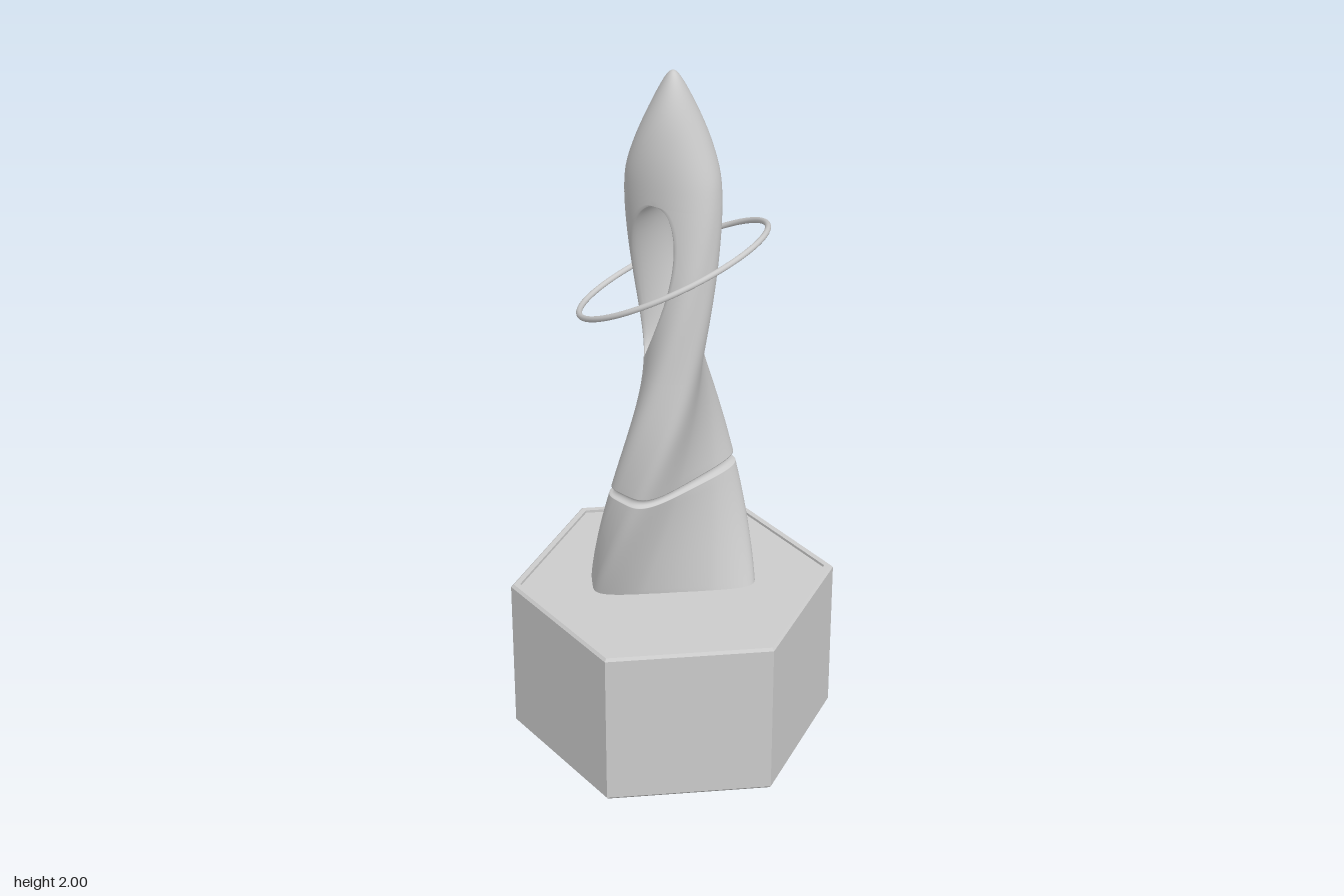
import * as THREE from 'three';
import { mergeVertices } from 'three/addons/utils/BufferGeometryUtils.js';

const BOTTOM = 0.46, TOP = 2;
const HOLE = { low: 1.18, high: 1.65, halfWidth: 0.07 };
const GROOVE = { y: 0.815, half: 0.013, depth: 0.012 };
const OUTER = 32, INNER = 12; // points on the outer and inner side of a strand

// Cross-section by height: half length, half thickness, squareness
const heights = [0.46, 0.6, 0.8, 1.0, 1.2, 1.4, 1.5, 1.7, 1.8, 1.9, 2.0];
const sections = [
  0.232, 0.08, 5, 0.218, 0.083, 4.5, 0.202, 0.086, 4, 0.186, 0.084, 3.8,
  0.166, 0.079, 3.2, 0.156, 0.08, 2.7, 0.152, 0.081, 2.5, 0.135, 0.083, 2.2,
  0.112, 0.085, 2.1, 0.085, 0.086, 2, 0.055, 0.08, 2,
];
const sectionAt = new THREE.CubicInterpolant(heights, sections, 3);

const material = (options = {}) => new THREE.MeshStandardMaterial({ color: 0xcccccc, ...options });

// Heights of the rings, closer together at the groove, the hole ends and the tip
function ringHeights() {
  const ys = [];
  const span = (from, to, n, ease = (t) => t) => {
    for (let i = 0; i < n; i++) ys.push(from + (to - from) * ease(i / n));
  };
  const { y, half } = GROOVE;
  span(BOTTOM, y - half - 0.006, 16);
  span(y - half - 0.006, y + half + 0.006, 20);
  span(y + half + 0.006, HOLE.low, 20);
  span(HOLE.low, HOLE.high, 44, (t) => (1 - Math.cos(Math.PI * t)) / 2);
  span(HOLE.high, TOP, 36, (t) => Math.sin((Math.PI / 2) * t));
  ys.push(TOP);
  return ys;
}

// Half width of the lens-shaped hole
function holeAt(y) {
  const t = (2 * y - HOLE.low - HOLE.high) / (HOLE.high - HOLE.low);
  return Math.abs(t) < 0.99999 ? HOLE.halfWidth * Math.sqrt(1 - t * t) : 0;
}

// Closed outline of one strand: half of the section, with a rounded inner wall
function strandOutline(y) {
  let [a, b, n] = sectionAt.evaluate(y);
  const g = Math.abs(y - GROOVE.y) / GROOVE.half;
  if (g < 1) {
    const cut = GROOVE.depth * Math.sqrt(1 - g * g);
    a -= cut;
    b -= cut;
  }
  if (y > 1.7) {
    const cap = Math.sqrt(Math.max(0, 1 - ((y - 1.7) / 0.3) ** 2));
    a *= cap;
    b *= cap;
  }
  const h = holeAt(y), f = h * 0.45;
  const start = h > 0 ? Math.acos(((h + f) / a) ** (n / 2)) : Math.PI / 2;
  const points = [];
  for (let i = 0; i <= OUTER; i++) {
    const t = start * (1 - (2 * i) / OUTER);
    const u = a * Math.max(0, Math.cos(t)) ** (2 / n);
    const v = b * Math.sign(t) * Math.abs(Math.sin(t)) ** (2 / n);
    points.push([i % OUTER ? u : h + f, v]);
  }
  const edge = points[0][1];
  for (let i = 1; i < INNER; i++) {
    const t = Math.PI * (i / INNER - 0.5);
    points.push([h + f - f * Math.cos(t), edge * Math.sin(t)]);
  }
  return points;
}

// Two opposite strands twist half a turn and join below and above the hole
function towerGeometry() {
  const ys = ringHeights(), count = OUTER + INNER;
  const positions = [], index = [];
  for (const side of [0, Math.PI]) {
    const base = positions.length / 3;
    ys.forEach((y, row) => {
      const angle = side + (Math.PI * (y - 0.475)) / (TOP - 0.475);
      const c = Math.cos(angle), s = Math.sin(angle);
      for (const [u, v] of strandOutline(y)) positions.push(u * c + v * s, y, v * c - u * s);
      if (row === ys.length - 1) return;
      const open = holeAt(y) > 0 || holeAt(ys[row + 1]) > 0;
      for (let i = 0; i < (open ? count : OUTER); i++) {
        const p = base + row * count + i;
        const q = base + row * count + ((i + 1) % count);
        index.push(p, q, p + count, q, q + count, p + count);
      }
    });
  }
  const geometry = new THREE.BufferGeometry();
  geometry.setAttribute('position', new THREE.Float32BufferAttribute(positions, 3));
  geometry.setIndex(index);
  const merged = mergeVertices(geometry, 1e-4);
  merged.computeVertexNormals();
  return merged;
}

export function createModel() {
  const group = new THREE.Group();
  const add = (name, geometry, mat) => {
    const mesh = new THREE.Mesh(geometry, mat);
    mesh.name = name;
    group.add(mesh);
    return mesh;
  };

  // Six-sided plinth with chamfered edges and a shallow recessed top
  const profile = [
    [0, 0], [0.454, 0], [0.462, 0.008], [0.462, 0.467], [0.454, 0.475],
    [0.436, 0.475], [0.436, 0.467], [0, 0.467],
  ].map(([r, y]) => new THREE.Vector2(r, y));
  add('plinth', new THREE.LatheGeometry(profile, 6, Math.PI / 6), material({ flatShading: true }));

  // Twisted tower with a grooved waist and an open eye
  add('twistedTower', towerGeometry(), material());

  // Thin tilted ring around the tower
  const ring = add('orbitRing', new THREE.TorusGeometry(0.277, 0.008, 12, 96), material());
  ring.position.y = 1.44;
  ring.quaternion.setFromUnitVectors(
    new THREE.Vector3(0, 0, 1),
    new THREE.Vector3(-0.45, 1, -0.26).normalize(),
  );
  return group;
}
